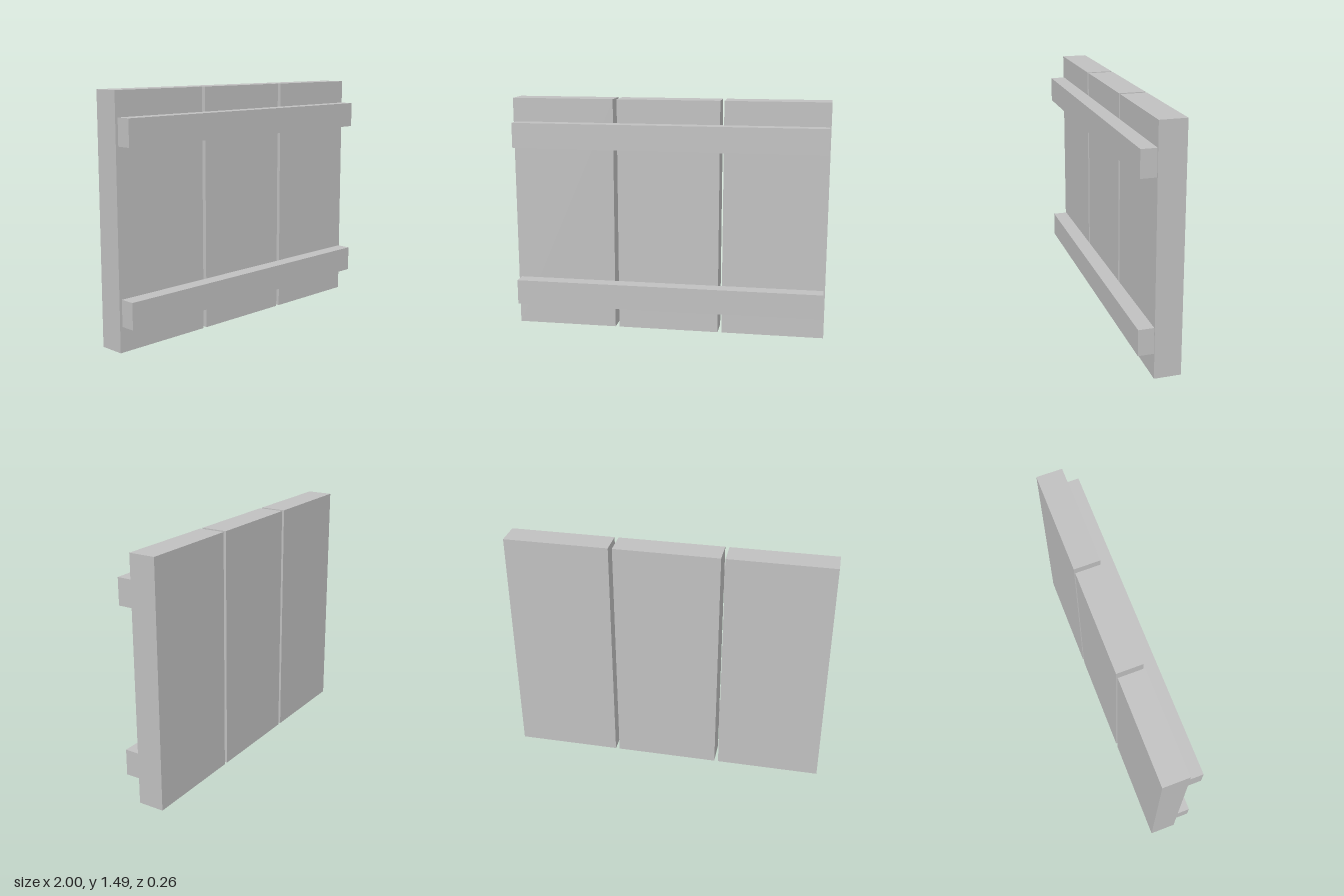
import * as THREE from 'three';

export function createModel() {
  const group = new THREE.Group();
  const grey = new THREE.MeshStandardMaterial({ color: 0xc0c0c0 });
  grey.name = 'plain grey';

  const addBox = (name, size, position) => {
    const mesh = new THREE.Mesh(new THREE.BoxGeometry(...size), grey);
    mesh.name = name;
    mesh.position.set(...position);
    group.add(mesh);
  };

  // Three upright planks with narrow gaps between them
  ['rightPlank', 'middlePlank', 'leftPlank'].forEach((name, i) =>
    addBox(name, [0.65, 1.492, 0.162], [(i - 1) * 0.675, 0.746, -0.047]));

  // Two cross battens on the front, set slightly off centre
  addBox('lowerBatten', [1.974, 0.16, 0.094], [0.004, 0.233, 0.081]);
  addBox('upperBatten', [1.974, 0.16, 0.094], [0.004, 1.263, 0.081]);

  return group;
}
